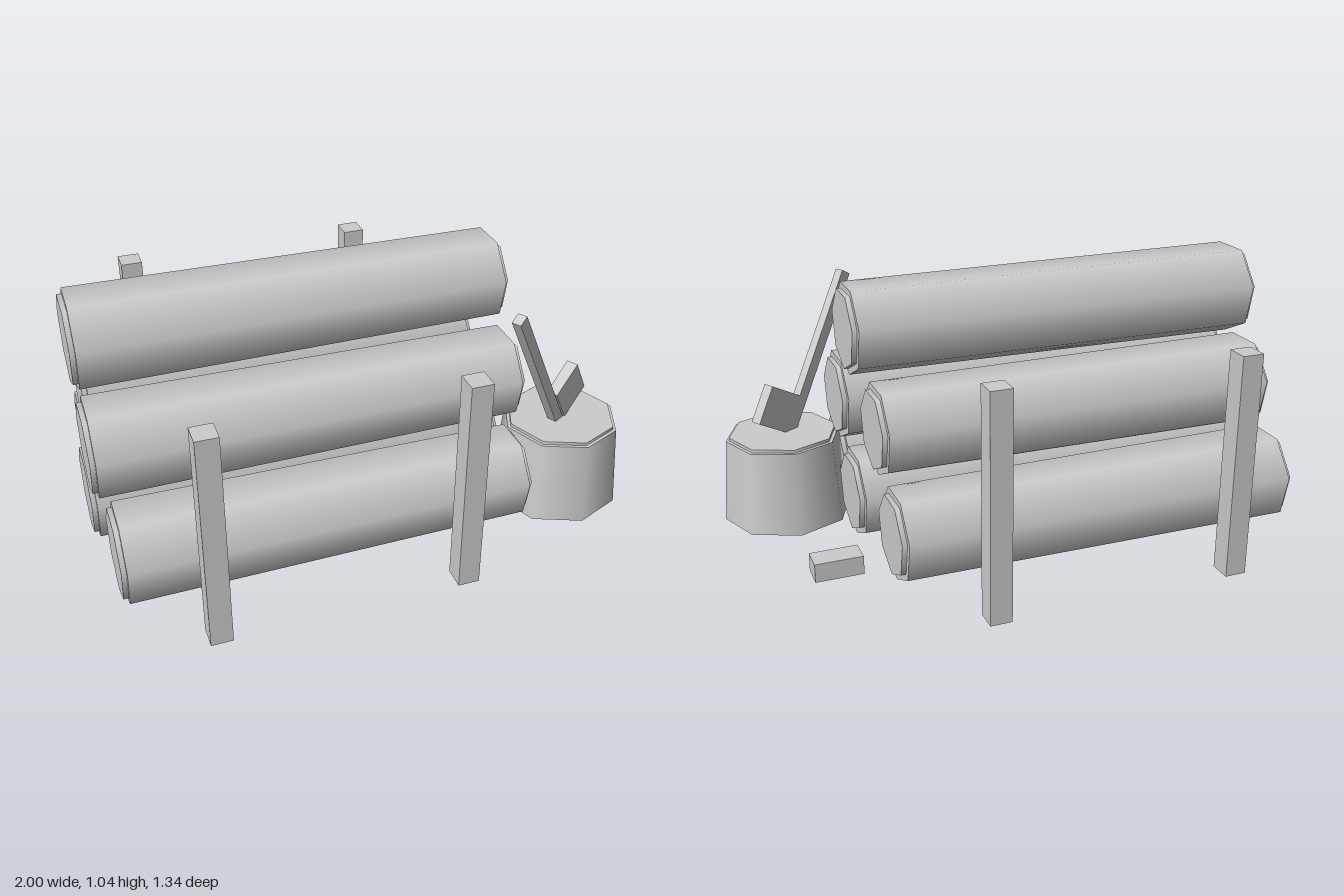
import * as THREE from 'three';

const grey = new THREE.MeshStandardMaterial({ color: 0xcccccc });
grey.name = 'plain grey';

function add(parent, name, geometry, x = 0, y = 0, z = 0) {
  const mesh = new THREE.Mesh(geometry, grey);
  mesh.name = name;
  mesh.position.set(x, y, z);
  parent.add(mesh);
  return mesh;
}

// Seven-sided tapered bar lying along x, with a corner pointing down
function lyingBar(rightRadius, leftRadius, x0, x1) {
  const g = new THREE.CylinderGeometry(rightRadius, leftRadius, x1 - x0, 7, 1, false, Math.PI / 2);
  return g.rotateZ(-Math.PI / 2).translate((x0 + x1) / 2, 0, 0);
}

export function createModel() {
  const model = new THREE.Group();
  model.name = 'logPile';

  // Pyramid of six logs, alternately short and long; the core shows at both ends
  const logs = [[0.25, 0.386], [0.25, 0], [0.25, -0.386], [0.565, 0.193], [0.565, -0.193], [0.88, 0]];
  logs.forEach(([y, z], i) => {
    const [x0, x1] = i % 2 ? [-0.984, 0.56] : [-0.947, 0.52];
    const log = new THREE.Group();
    log.name = 'log' + (i + 1);
    log.position.set(0, y, z);
    add(log, 'bark', lyingBar(0.17, 0.18, x0, x1));
    add(log, 'core', lyingBar(0.146, 0.16, x0 - 0.018, x1 + 0.018));
    model.add(log);
  });

  // Four upright stakes holding the pile
  for (const x of [-0.672, 0.241])
    for (const z of [-0.627, 0.627])
      add(model, 'stake', new THREE.BoxGeometry(0.08, 0.842, 0.083), x, 0.421, z);

  // Chopping block with a slightly raised top
  add(model, 'choppingBlock', new THREE.CylinderGeometry(0.218, 0.245, 0.32, 8), 0.753, 0.23, 0.317);
  add(model, 'choppingBlockTop', new THREE.CylinderGeometry(0.205, 0.205, 0.03, 8), 0.753, 0.387, 0.317);

  // Axe sunk into the block; its origin is the top end of the handle
  const axe = new THREE.Group();
  axe.name = 'axe';
  axe.position.set(0.447, 0.957, 0.492);
  axe.rotation.set(0, Math.PI / 6, Math.PI / 6, 'YXZ');
  add(axe, 'axeHandle', new THREE.BoxGeometry(0.042, 0.68, 0.036), 0, -0.34, 0);
  add(axe, 'axeHead', new THREE.BoxGeometry(0.15, 0.15, 0.044), 0.1, -0.585, 0);
  model.add(axe);

  // Small offcut beside the pile
  add(model, 'offcut', new THREE.BoxGeometry(0.175, 0.07, 0.09), 0.698, 0.105, -0.246);

  return model;
}
